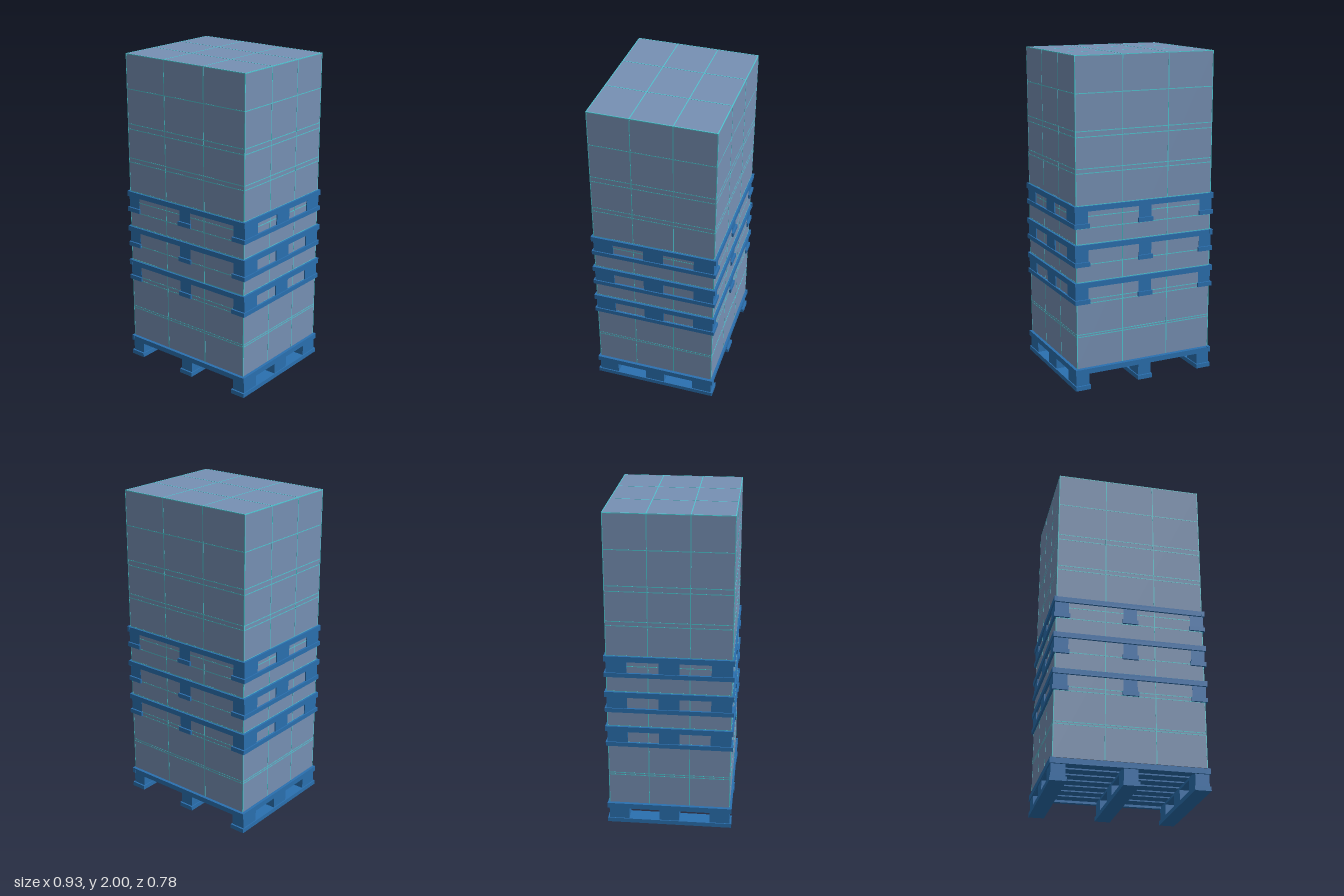
import * as THREE from 'three';

function mat(name, color) {
  const m = new THREE.MeshStandardMaterial({ color });
  m.name = name;
  return m;
}

const cartonMat = mat('cartonGreyBlue', 0x7690b4);
const seamMat = mat('seamTeal', 0x4fc8d4);
const palletMat = mat('palletBlue', 0x2a70b0);

// Box given by its centre in x and z and its lower and upper heights.
function slab(parent, name, material, w, y0, y1, d, x = 0, z = 0) {
  const mesh = new THREE.Mesh(new THREE.BoxGeometry(w, y1 - y0, d), material);
  mesh.position.set(x, (y0 + y1) / 2, z);
  mesh.name = name;
  parent.add(mesh);
}

function makePallet() {
  const pallet = new THREE.Group();
  pallet.name = 'pallet';
  // deck rim
  for (const s of [-1, 1]) {
    slab(pallet, 'deckSideRim', palletMat, 0.021, 0.1, 0.134, 0.776, s * 0.4535);
    slab(pallet, 'deckEndRim', palletMat, 0.886, 0.1, 0.132, 0.03, 0, s * 0.372);
  }
  // deck boards across x
  for (let i = 0; i < 7; i++) {
    slab(pallet, 'deckBoard', palletMat, 0.886, 0.114, 0.131, 0.08, 0, (i - 3) * 0.105);
  }
  // runners along z, each carrying three blocks
  for (const x of [-0.415, 0, 0.415]) {
    slab(pallet, 'runner', palletMat, 0.097, 0, 0.027, 0.774, x);
    slab(pallet, 'stringer', palletMat, 0.084, 0.098, 0.114, 0.74, x);
    for (const z of [-0.314, 0, 0.314]) {
      slab(pallet, 'block', palletMat, 0.084, 0.027, 0.1, 0.124, x, z);
    }
  }
  return pallet;
}

function makeCargo() {
  const cargo = new THREE.Group();
  cargo.name = 'cargo';
  slab(cargo, 'cartons', cartonMat, 0.9, 0.138, 1.9985, 0.75);

  // seams are thin sheets through the stack, barely proud of the cartons
  const t = 0.005, w = 0.9016, d = 0.7516, y0 = 0.139, y1 = 1.9995;
  for (const s of [-1, 1]) {
    slab(cargo, 'seamAcross', seamMat, t, y0, y1, d, s * 0.15);
    slab(cargo, 'seamAlong', seamMat, w, y0, y1, t, 0, s * 0.125);
    // top border
    slab(cargo, 'topEdgeSide', seamMat, t, y1 - t, y1, d, s * (w - t) / 2);
    slab(cargo, 'topEdgeEnd', seamMat, w - 2 * t, y1 - t, y1, t, 0, s * (d - t) / 2);
    // corner edges
    for (const r of [-1, 1]) {
      slab(cargo, 'cornerEdge', seamMat, t, y0, y1 - t, t, s * (w - t) / 2, r * (d - t) / 2);
    }
  }
  // layer seams
  for (const y of [0.336, 0.35, 0.54, 0.565, 0.675, 0.78, 0.905, 1.0, 1.07,
    1.136, 1.325, 1.352, 1.536, 1.569, 1.785]) {
    slab(cargo, 'layerSeam', seamMat, w - 0.0004, y - t / 2, y + t / 2, d - 0.0004);
  }
  return cargo;
}

export function createModel() {
  const model = new THREE.Group();
  model.name = 'stackedPallets';
  for (const y of [0, 0.54, 0.77, 1.002]) {
    const pallet = makePallet();
    pallet.position.y = y;
    model.add(pallet);
  }
  model.add(makeCargo());
  return model;
}
